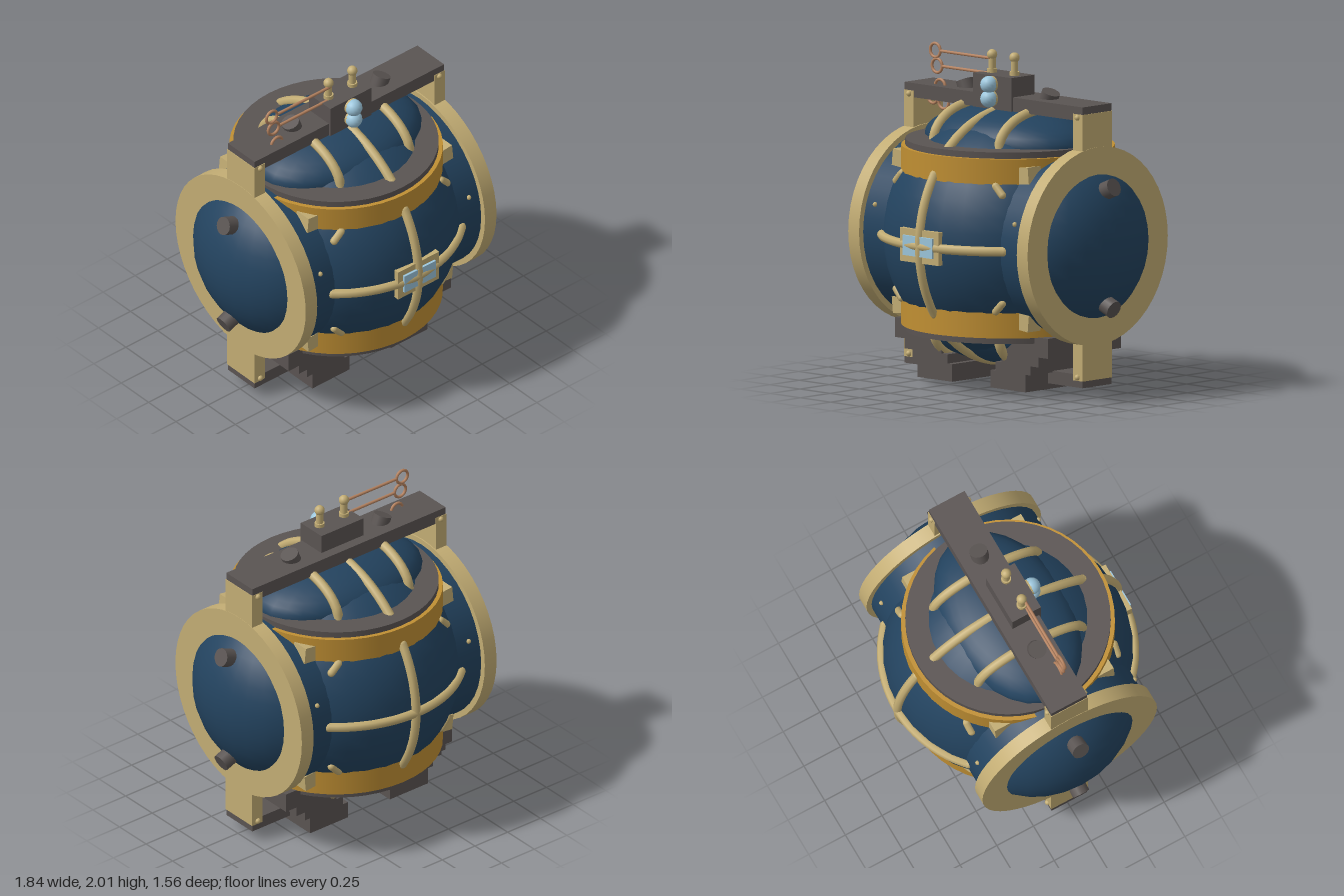
import * as THREE from 'three';

const mat = (name, color) => {
  const m = new THREE.MeshStandardMaterial({ color });
  m.name = name;
  return m;
};

export function createModel() {
  const blue = mat('navy hull', 0x23435f);
  const orange = mat('orange band', 0xc08f33);
  const tan = mat('pale brass', 0xc3ad74);
  const grey = mat('dark iron', 0x5a5452);
  const glass = mat('light blue glass', 0x9cc6dc);
  const copper = mat('copper', 0xb5825f);

  const group = new THREE.Group();
  const CY = 0.9; // height of the hull centre
  const UP = new THREE.Vector3(0, 1, 0);

  const add = (name, geo, material, x = 0, y = 0, z = 0) => {
    const m = new THREE.Mesh(geo, material);
    m.name = name;
    m.position.set(x, y, z);
    group.add(m);
    return m;
  };
  // box given by its limits
  const box = (name, material, x0, x1, y0, y1, z0, z1) =>
    add(name, new THREE.BoxGeometry(x1 - x0, y1 - y0, z1 - z0), material,
      (x0 + x1) / 2, (y0 + y1) / 2, (z0 + z1) / 2);
  const ellipsoid = (name, material, x, y, z, a, b, c) => {
    const m = add(name, new THREE.SphereGeometry(1, 28, 20), material, x, y, z);
    m.scale.set(a, b, c);
    return m;
  };
  // rod along a direction
  const rod = (name, material, r, len, pos, dir, sides = 16) => {
    const m = add(name, new THREE.CylinderGeometry(r, r, len, sides), material, ...pos);
    m.quaternion.setFromUnitVectors(UP, dir.clone().normalize());
    return m;
  };
  // round-ended rib following point(t), t from -1 to 1
  const rib = (name, point, r = 0.03) => {
    const pts = [];
    for (let i = 0; i <= 12; i++) pts.push(point(i / 6 - 1));
    const curve = new THREE.CatmullRomCurve3(pts);
    add(name, new THREE.TubeGeometry(curve, 24, r, 8), tan);
    for (const p of [pts[0], pts[12]]) add(name + 'End', new THREE.SphereGeometry(r, 8, 6), tan, p.x, p.y, p.z);
  };

  // Hull: ball, crosswise drum and upright orange drum
  add('hullBall', new THREE.SphereGeometry(0.745, 32, 24), blue, 0, CY, 0);
  rod('sideDrum', blue, 0.56, 1.34, [0, CY, 0], new THREE.Vector3(1, 0, 0), 40);
  add('orangeDrum', new THREE.CylinderGeometry(0.635, 0.635, 1.075, 48), orange, 0, CY, 0);

  // Upper and lower hatches with ribs
  for (const s of [1, -1]) {
    add('hatchRim', new THREE.CylinderGeometry(0.61, 0.61, 0.04, 48), grey, 0, CY + s * 0.555, 0);
    ellipsoid('hatchDome', blue, 0, CY + s * 0.57, 0, 0.585, 0.2, 0.385);
    for (const x of [-0.27, 0.27]) {
      rib('hatchRib', (t) => new THREE.Vector3(x,
        CY + s * (0.565 + 0.205 * Math.cos(t * Math.PI / 2)), 0.355 * Math.sin(t * Math.PI / 2)));
    }
    rib('hatchCentreRib', (t) => new THREE.Vector3(0,
      CY + s * 0.755 * Math.cos(t * 0.74), 0.755 * Math.sin(t * 0.74)));
  }

  // Side domes, rings and studs
  for (const s of [1, -1]) {
    ellipsoid('sideDome', blue, s * 0.5, CY, 0, 0.42, 0.53, 0.53);
    rod('sideRing', tan, 0.595, 0.09, [s * 0.7, CY, 0], new THREE.Vector3(1, 0, 0), 48);
    for (const v of [1, -1]) {
      rod('sideStud', grey, 0.055, 0.12, [s * 0.825, CY + v * 0.345, 0], new THREE.Vector3(s * 0.92, v * 0.38, 0));
      rod('frameStud', grey, 0.055, 0.12, [s * 0.335, CY + v * 0.83, 0], new THREE.Vector3(s * 0.38, v * 0.92, 0));
    }
  }

  // Crossed ribs on front and back
  for (const s of [1, -1]) {
    rib('crossRibAcross', (t) => new THREE.Vector3(
      0.75 * Math.sin(t * 0.74), CY, s * 0.75 * Math.cos(t * 0.74)), 0.029);
    rib('crossRibUpright', (t) => new THREE.Vector3(
      0, CY + 0.75 * Math.sin(t * 0.59), s * 0.75 * Math.cos(t * 0.59)), 0.029);
  }

  // Corner brackets, short ribs and rivets
  for (const sx of [1, -1]) for (const sz of [1, -1]) {
    for (const sy of [1, -1]) {
      const b = box('cornerBracket', tan, sx * 0.52 - 0.045, sx * 0.52 + 0.045,
        CY + sy * 0.44 - 0.05, CY + sy * 0.44 + 0.05, sz * 0.35 - 0.055, sz * 0.35 + 0.055);
      b.rotation.z = sx * sy * 0.1;
      const r = add('shortRib', new THREE.CapsuleGeometry(0.024, 0.07, 4, 8), tan, sx * 0.415, CY + sy * 0.35, sz * 0.5);
      r.quaternion.setFromUnitVectors(UP, new THREE.Vector3(-sx, sy, sz * 0.1).normalize());
    }
    add('hullRivet', new THREE.SphereGeometry(0.015, 8, 6), tan, sx * 0.58, CY + 0.17, sz * 0.535);
  }

  // Front window
  box('windowFrame', tan, -0.16, 0.16, 0.8, 1.0, 0.69, 0.755);
  box('windowPane', glass, -0.122, 0.122, 0.84, 0.96, 0.762, 0.77);
  box('windowPaneSeat', glass, -0.122, 0.122, 0.84, 0.96, 0.753, 0.762);

  // Outer frame: top beam, posts and bolts
  box('topBeam', grey, -0.74, 0.74, 1.66, 1.745, -0.122, 0.122);
  for (const s of [1, -1]) {
    for (const [y0, y1, yb] of [[1.4, 1.7, 1.68], [0.1, 0.4, 0.12]]) {
      box('framePost', tan, s * 0.703 - 0.04, s * 0.703 + 0.04, y0, y1, -0.125, 0.125);
      for (const z of [-0.125, 0.125]) add('postBolt', new THREE.SphereGeometry(0.018, 10, 8), tan, s * 0.7, yb, z);
    }
    // stepped feet
    const span = (name, a, b, y0, y1, z) =>
      box(name, grey, Math.min(s * a, s * b), Math.max(s * a, s * b), y0, y1, -z, z);
    span('bottomBeam', 0.3, 0.74, 0.06, 0.138, 0.122);
    span('footStepTop', 0.255, 0.635, 0.245, 0.365, 0.31);
    span('footStepUpper', 0.25, 0.555, 0.185, 0.245, 0.31);
    span('footStepLower', 0.2, 0.49, 0.13, 0.185, 0.31);
    span('footBase', 0.16, 0.45, 0.025, 0.13, 0.31);
  }

  // Control box with lamps and pins
  box('controlBox', grey, -0.16, 0.16, 1.66, 1.862, -0.06, 0.135);
  for (const y of [1.725, 1.81]) {
    rod('lampRim', tan, 0.05, 0.03, [0, y, 0.147], new THREE.Vector3(0, 0, 1));
    add('lamp', new THREE.SphereGeometry(0.052, 16, 12), glass, 0, y, 0.162);
  }
  for (const x of [-0.093, 0.093]) {
    rod('pinBase', tan, 0.03, 0.03, [x, 1.87, 0.04], UP);
    rod('pin', tan, 0.022, 0.11, [x, 1.91, 0.04], UP);
    add('pinKnob', new THREE.SphereGeometry(0.031, 14, 10), tan, x, 1.969, 0.04);
  }

  // Pull rods and loose rings
  const ring = (x, y) => add('pullRing', new THREE.TorusGeometry(0.042, 0.009, 8, 20), copper, x, y, 0.055);
  for (const [x, y] of [[-0.55, 1.948], [-0.535, 1.857]]) {
    ring(x, y);
    rod('pullRod', copper, 0.009, -0.09 - x - 0.042, [(x + 0.042 - 0.09) / 2, y, 0.055], new THREE.Vector3(1, 0, 0), 8);
  }
  for (const [x, y] of [[-0.51, 1.735], [-0.57, 1.67], [-0.48, 1.645]]) ring(x, y);

  return group;
}
